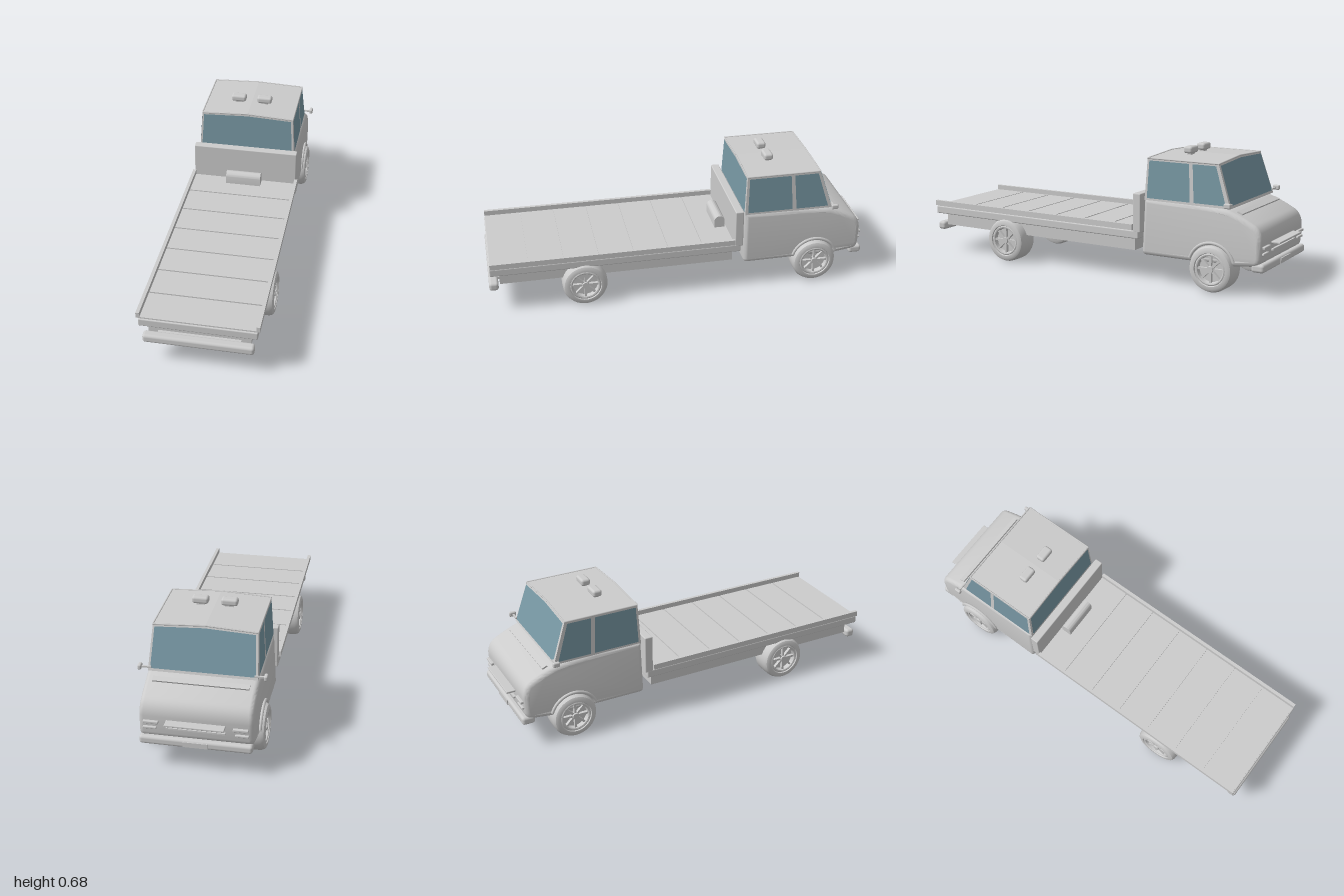
import * as THREE from 'three';
import { toCreasedNormals } from 'three/addons/utils/BufferGeometryUtils.js';
import { RoundedBoxGeometry } from 'three/addons/geometries/RoundedBoxGeometry.js';
import { ConvexGeometry } from 'three/addons/geometries/ConvexGeometry.js';

const grey = new THREE.MeshStandardMaterial({ color: 0xcccccc });
const glass = new THREE.MeshStandardMaterial({ color: 0x7898a4, side: THREE.DoubleSide });
const V = (x, y, z) => new THREE.Vector3(x, y, z);

export function createModel() {
  const model = new THREE.Group();
  model.name = 'flatbedTruck';

  const add = (name, geometry, material = grey, parent = model) => {
    const mesh = new THREE.Mesh(geometry, material);
    mesh.name = name;
    parent.add(mesh);
    return mesh;
  };
  // box given by its lower and upper limits, with an optional edge radius
  const box = (name, [x0, x1], [y0, y1], [z0, z1], r = 0) => {
    const size = [x1 - x0, y1 - y0, z1 - z0];
    const g = r ? new RoundedBoxGeometry(...size, 3, r) : new THREE.BoxGeometry(...size);
    return add(name, g.translate((x0 + x1) / 2, (y0 + y1) / 2, (z0 + z1) / 2));
  };
  // side profile drawn in (-z, y), extruded across x
  const across = (shape, width, bevel) => {
    const g = new THREE.ExtrudeGeometry(shape, {
      depth: width - 2 * bevel, bevelEnabled: bevel > 0, bevelSize: bevel, bevelOffset: -bevel,
      bevelThickness: bevel, bevelSegments: 4, curveSegments: 10,
    });
    return g.translate(0, 0, bevel - width / 2).rotateY(Math.PI / 2);
  };

  // lower cab with a sloping rounded nose
  const side = new THREE.Shape();
  side.moveTo(0.345, 0.14);
  side.lineTo(0.82, 0.14);
  side.lineTo(0.92, 0.15);
  side.quadraticCurveTo(0.95, 0.152, 0.953, 0.19);
  side.lineTo(0.956, 0.27);
  side.quadraticCurveTo(0.955, 0.33, 0.91, 0.352);
  side.quadraticCurveTo(0.85, 0.385, 0.78, 0.408);
  side.quadraticCurveTo(0.68, 0.422, 0.55, 0.423);
  side.lineTo(0.325, 0.424);
  side.lineTo(0.32, 0.16);
  side.quadraticCurveTo(0.322, 0.14, 0.345, 0.14);
  const body = across(side, 0.562, 0.022);
  const p = body.attributes.position;
  for (let i = 0; i < p.count; i++) {
    // narrow slightly toward the top and the nose
    const top = Math.max(0, p.getY(i) - 0.28) * 0.35;
    const nose = Math.max(0, -p.getZ(i) - 0.75) * 0.2;
    p.setX(i, p.getX(i) * (1 - top - nose));
  }
  add('cabBody', toCreasedNormals(body, 0.6));

  // upper cab: four leaning sides and a crowned roof
  const base = [V(0.262, 0.415, -0.326), V(0.262, 0.415, -0.792)];
  const eave = [V(0.249, 0.625, -0.336), V(0.249, 0.625, -0.722)];
  const ridge = [V(0, 0.637, -0.337), V(0, 0.637, -0.718)];
  const mirror = (v) => V(-v.x, v.y, v.z);
  const half = [...base, ...eave];
  add('upperCab', new ConvexGeometry([...half, ...half.map(mirror), ...ridge]));

  // roof edge trim
  for (const s of [-1, 1]) {
    for (const i of [0, 1]) {
      const a = eave[i].clone().setX(eave[i].x * s);
      add('roofEdge', new THREE.TubeGeometry(new THREE.LineCurve3(a, ridge[i]), 1, 0.004, 6));
    }
    const ends = eave.map((v) => v.clone().setX(v.x * s));
    add('roofRail', new THREE.TubeGeometry(new THREE.LineCurve3(...ends), 1, 0.004, 6));
  }

  // thin glass pane through a ring of corners, moved a little outward
  const pane = (name, corners, out) => {
    const pts = corners.map((c) => c.clone().addScaledVector(out, 0.003));
    const g = new THREE.BufferGeometry().setFromPoints(pts);
    const index = [];
    for (let i = 1; i < pts.length - 1; i++) index.push(0, i, i + 1);
    g.setIndex(index);
    g.computeVertexNormals();
    add(name, g, glass);
  };
  const on = (a, b, t) => a.clone().lerp(b, t);
  for (const [i, name, out] of [[0, 'rearWindow', V(0, 0, 1)], [1, 'windscreen', V(0, 0.3, -1)]]) {
    const low = on(base[i], eave[i], 0.06).setX(0.251);
    const high = on(base[i], eave[i], 0.955).setX(0.24);
    const mid = on(base[i], eave[i], 1.005).setX(0);
    pane(name, [low, high, mid, mirror(high), mirror(low)], out);
  }
  // side windows, split by a slim pillar
  for (const s of [-1, 1]) {
    const at = (u, v) => {
      const q = on(on(base[0], base[1], u), on(eave[0], eave[1], u), v);
      return q.setX(q.x * s);
    };
    for (const [name, u0, u1, t0, t1] of [
      ['sideWindowRear', 0.03, 0.545, 0.03, 0.59], ['sideWindowFront', 0.59, 0.96, 0.64, 0.96]]) {
      pane(name, [at(u0, 0.06), at(u1, 0.06), at(t1, 0.95), at(t0, 0.95)], V(s, 0, 0));
    }
  }

  // nose details
  box('frontBumper', [-0.268, 0.268], [0.124, 0.166], [-0.972, -0.905], 0.014);
  box('grilleLip', [-0.14, 0.14], [0.246, 0.256], [-1, -0.945], 0.003);
  box('lowerGrille', [-0.14, 0.14], [0.212, 0.22], [-0.966, -0.945]);
  box('bumperPlate', [-0.06, 0.06], [0.132, 0.158], [-0.976, -0.965]);
  const cowl = box('cowlStrip', [-0.23, 0.23], [-0.004, 0.004], [-0.014, 0.014]);
  cowl.position.set(0, 0.395, -0.828);
  cowl.rotation.x = -0.38;
  for (const s of [-1, 1]) {
    const span = (a, b) => (s > 0 ? [a, b] : [-b, -a]);
    box('headlampBar', span(0.175, 0.248), [0.235, 0.249], [-0.969, -0.94], 0.004);
    box('indicatorBar', span(0.185, 0.25), [0.205, 0.217], [-0.965, -0.94], 0.004);
    // wing mirrors
    box('mirrorArm', span(0.245, 0.295), [0.431, 0.439], [-0.796, -0.788]);
    box('mirrorHead', span(0.29, 0.308), [0.424, 0.45], [-0.812, -0.776], 0.007);
    // roof lamps
    box('roofLamp', span(0.031, 0.112), [0.641, 0.676], [-0.508, -0.46], 0.012);
    box('roofLampFoot', span(0.05, 0.09), [0.625, 0.645], [-0.495, -0.472]);
    // arch over the front wheel
    const arch = new THREE.TorusGeometry(0.122, 0.008, 8, 28, 2.5).rotateZ((Math.PI - 2.5) / 2);
    add('wheelArch', arch.rotateY(Math.PI / 2)).position.set(s * 0.278, 0.122, -0.705);
    // bed rails
    box('bedRail', span(0.277, 0.294), [0.263, 0.291], [-0.27, 0.99]);
  }

  // flat bed
  box('chassis', [-0.248, 0.248], [0.15, 0.218], [-0.265, 0.945]);
  box('bedFrame', [-0.284, 0.284], [0.217, 0.258], [-0.302, 0.993], 0.006);
  const edges = [-0.27, -0.1, 0.08, 0.26, 0.44, 0.62, 0.8, 0.99];
  for (let i = 0; i < edges.length - 1; i++) {
    box('bedPlank', [-0.279, 0.279], [0.25, 0.265], [edges[i] + 0.004, edges[i + 1] - 0.004]);
  }
  box('headboard', [-0.284, 0.284], [0.25, 0.448], [-0.314, -0.271], 0.005);
  box('rearBumper', [-0.268, 0.268], [0.122, 0.166], [0.952, 1], 0.014);
  box('bumperMount', [-0.2, 0.2], [0.152, 0.164], [0.93, 0.96]);

  // domed winch cover
  const dome = new THREE.Shape();
  dome.moveTo(0.205, 0.262);
  dome.lineTo(0.26, 0.262);
  dome.lineTo(0.26, 0.3);
  dome.absarc(0.2325, 0.302, 0.0275, 0, Math.PI, false);
  add('winchCover', toCreasedNormals(across(dome, 0.19, 0), 0.6));

  // wheels: tyre and dished rim in one turned profile, then spokes and hub
  const profile = [[0, 0], [0.095, 0], [0.108, 0.006], [0.115, 0.022], [0.116, 0.06], [0.115, 0.103],
    [0.108, 0.119], [0.097, 0.125], [0.083, 0.125], [0.08, 0.119], [0.074, 0.122], [0.068, 0.12],
    [0.064, 0.098], [0, 0.098]].map(([r, y]) => new THREE.Vector2(r, y));
  for (const [axle, z] of [['front', -0.705], ['rear', 0.515]]) {
    for (const s of [-1, 1]) {
      const wheel = new THREE.Group();
      wheel.name = axle + 'Wheel';
      add('tyreAndRim', toCreasedNormals(new THREE.LatheGeometry(profile, 40), 0.6), grey, wheel);
      for (let i = 0; i < 8; i++) {
        const spoke = new THREE.BoxGeometry(0.056, 0.016, 0.011).translate(0.04, 0.106, 0);
        add('spoke', spoke.rotateY(i * Math.PI / 4), grey, wheel);
      }
      const hub = new THREE.CylinderGeometry(0.016, 0.02, 0.026, 20).translate(0, 0.109, 0);
      add('hub', hub, grey, wheel);
      wheel.rotation.z = -s * Math.PI / 2;
      wheel.position.set(s * 0.175, 0.116, z);
      model.add(wheel);
    }
  }
  return model;
}
